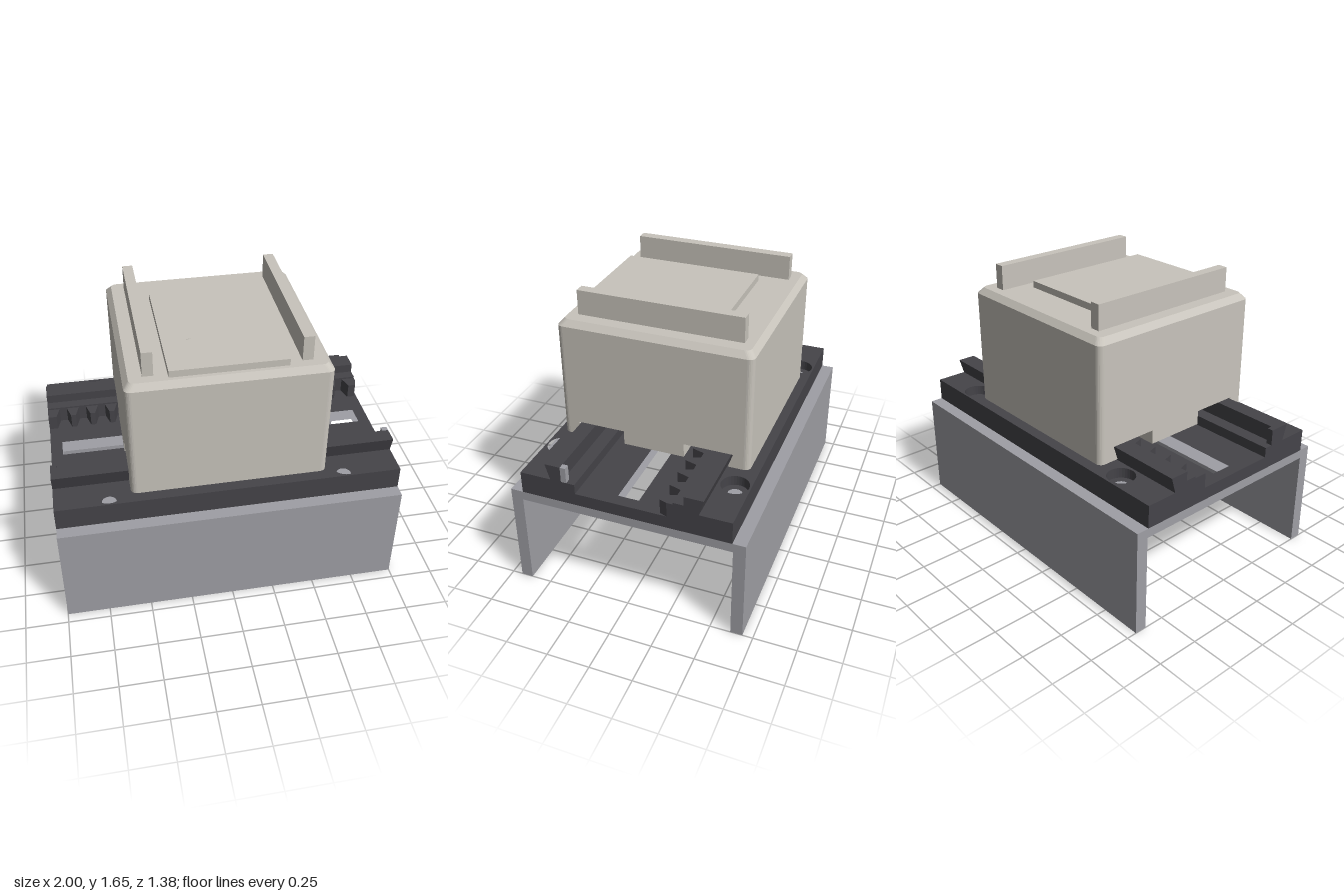
import * as THREE from 'three';

const mat = (name, color) => {
  const m = new THREE.MeshStandardMaterial({ color });
  m.name = name;
  return m;
};

export function createModel() {
  const beige = mat('beige housing', 0xc8c4bc);
  const dark = mat('dark base', 0x454449);
  const grey = mat('grey channel', 0x9f9fa5);
  const gold = mat('gold gear', 0xd0a05a);
  const model = new THREE.Group();

  const add = (name, geometry, material) => {
    const mesh = new THREE.Mesh(geometry, material);
    mesh.name = name;
    model.add(mesh);
    return mesh;
  };
  // Box from its limits on each axis
  const box = (name, material, x0, x1, y0, y1, z0, z1) => {
    const g = new THREE.BoxGeometry(x1 - x0, y1 - y0, z1 - z0);
    g.translate((x0 + x1) / 2, (y0 + y1) / 2, (z0 + z1) / 2);
    return add(name, g, material);
  };
  // Plan outlines are lists of [x, z]
  const toVectors = (pts) => pts.map(([x, z]) => new THREE.Vector2(x, -z));
  const plan = (outline, holes, y0, y1) => {
    const shape = new THREE.Shape(toVectors(outline));
    shape.holes = holes.map((h) => new THREE.Path(toVectors(h)));
    const g = new THREE.ExtrudeGeometry(shape, { depth: y1 - y0, bevelEnabled: false });
    return g.rotateX(-Math.PI / 2).translate(0, y0, 0);
  };
  const rect = (x0, x1, z0, z1) => [[x0, z0], [x1, z0], [x1, z1], [x0, z1]];
  const circle = (cx, cz, r, n = 32) => Array.from({ length: n }, (_, i) => {
    const a = (i / n) * Math.PI * 2;
    return [cx + r * Math.cos(a), cz + r * Math.sin(a)];
  });
  const arc = (cx, cz, r, from, to, n = 6) => Array.from({ length: n + 1 }, (_, i) => {
    const a = from + ((to - from) * i) / n;
    return [cx + r * Math.cos(a), cz + r * Math.sin(a)];
  });
  const moveVertices = (g, rule) => {
    const p = g.attributes.position;
    const v = new THREE.Vector3();
    for (let i = 0; i < p.count; i++) {
      v.fromBufferAttribute(p, i);
      rule(v);
      p.setXYZ(i, v.x, v.y, v.z);
    }
    g.computeVertexNormals();
    return g;
  };

  // Shared openings: centre slot and four screw holes
  const slot = rect(-0.93, 0.93, -0.063, 0.06);
  const screws = (r, sides = [-1, 1]) =>
    sides.flatMap((s) => [-0.69, 0.69].map((x) => circle(x, s * 0.525, r)));

  // Grey U channel underneath
  add('channelTop', plan(rect(-1, 1, -0.69, 0.69), [slot, ...screws(0.042)], 0.58, 0.635), grey);
  for (const s of [-1, 1]) {
    const z = [0.62 * s, 0.69 * s].sort((a, b) => a - b);
    box('channelWall', grey, -1, 1, 0, 0.58, ...z);
  }

  // Dark base plate with raised sides and counterbored screws
  add('basePlate', plan(rect(-1, 1, -0.615, 0.615), [slot, ...screws(0.042)], 0.635, 0.71), dark);
  for (const s of [-1, 1]) {
    add('baseSide', plan(rect(-1, 1, s * 0.285, s * 0.615), screws(0.08, [s]), 0.71, 0.77), dark);
  }

  // Dovetail guide rails, wider at the top
  for (const [s, inner] of [[1, 0.365], [-1, 0.347]]) {
    const g = plan(rect(-1, 1, s * inner, s * 0.43), [], 0.77, 0.865);
    moveVertices(g, (v) => {
      if (v.y > 0.8 && Math.abs(v.z) > 0.4) v.z = s * 0.457;
    });
    add('guideRail', g, dark);
  }
  box('leftEndStop', grey, 0.965, 1, 0.77, 0.865, 0.333, 0.365);
  box('rightEndStop', dark, -1, -0.965, 0.77, 0.865, 0.333, 0.365);

  // Toothed rack along the back rail
  const pitch = 0.12, root = -0.285, tip = -0.207;
  const rack = [[1, -0.3], [-1, -0.3], [-1, tip]];
  for (let i = 0; i < 16; i++) {
    const x = -0.905 + i * pitch;
    rack.push([x - 0.045, tip], [x - 0.022, root], [x + 0.022, root], [x + 0.045, tip]);
  }
  rack.push([0.985, tip], [1, -0.25]);
  add('rack', plan(rack, [], 0.71, 0.8), dark);
  box('rackLedge', dark, -1, 1, 0.77, 0.81, -0.35, root);

  // Gear that runs on the rack
  const gear = [];
  const teeth = 12;
  for (let i = 0; i < teeth; i++) {
    const a = -Math.PI / 2 + 0.24 + (i / teeth) * Math.PI * 2;
    for (const [da, r] of [[-0.17, 0.187], [-0.075, 0.26], [0.075, 0.26], [0.17, 0.187]]) {
      gear.push([r * Math.cos(a + da), r * Math.sin(a + da)]);
    }
  }
  add('gear', plan(gear, [], 0.72, 0.8), gold);

  // Carriage body with diagonal openings in its top
  const H = 0.565, R = 0.035, Q = Math.PI / 2;
  const corners = [[1, 1], [-1, 1], [-1, -1], [1, -1]];
  const footprint = corners.flatMap(([sx, sz], i) =>
    arc(sx * (H - R), sz * (H - R), R, i * Q, (i + 1) * Q));
  const openings = corners.map(([sx, sz]) => {
    const a = Math.atan2(sz, sx);
    const d = 0.035 * Math.SQRT1_2;
    const cx = sx * 0.167, cz = sz * 0.165;
    return [
      ...arc(cx + sx * d, cz + sz * d, 0.041, a - Q, a + Q, 10),
      ...arc(cx - sx * d, cz - sz * d, 0.041, a + Q, a + 3 * Q, 10),
    ];
  });
  add('carriageBody', plan(footprint, openings, 0.87, 1.475), beige);
  // Chamfered top edge
  const top = plan(footprint, openings, 1.475, 1.51);
  moveVertices(top, (v) => {
    if (v.y > 1.5 && Math.max(Math.abs(v.x), Math.abs(v.z)) > 0.4) {
      v.x *= 0.535 / H;
      v.z *= 0.535 / H;
    }
  });
  add('carriageTop', top, beige);
  box('carriageCore', dark, -0.35, 0.35, 0.88, 0.92, -0.35, 0.35);

  // Carriage underside: centre block and hooked flanges around the rails
  box('carriageCentre', beige, -H, H, 0.785, 0.87, -0.18, 0.185);
  for (const s of [-1, 1]) {
    const outline = [
      [-H, s * 0.44], [H, s * 0.44],
      ...arc(H - R, s * (H - R), R, 0, s * Q),
      ...arc(-H + R, s * (H - R), R, s * Q, s * 2 * Q),
    ];
    const g = plan(outline, [], 0.785, 0.87);
    moveVertices(g, (v) => {
      if (v.y > 0.8 && Math.abs(v.z) < 0.45) v.z = s * 0.468;
    });
    add('carriageFlange', g, beige);
  }

  // Raised lid plate and the two upright side fins
  add('lidPlate', plan(rect(-0.325, 0.325, -0.315, 0.513), openings, 1.51, 1.55), beige);
  box('leftFin', beige, 0.4, 0.46, 1.51, 1.655, -0.48, 0.48);
  box('rightFin', beige, -0.46, -0.4, 1.51, 1.655, -0.48, 0.48);

  return model;
}
